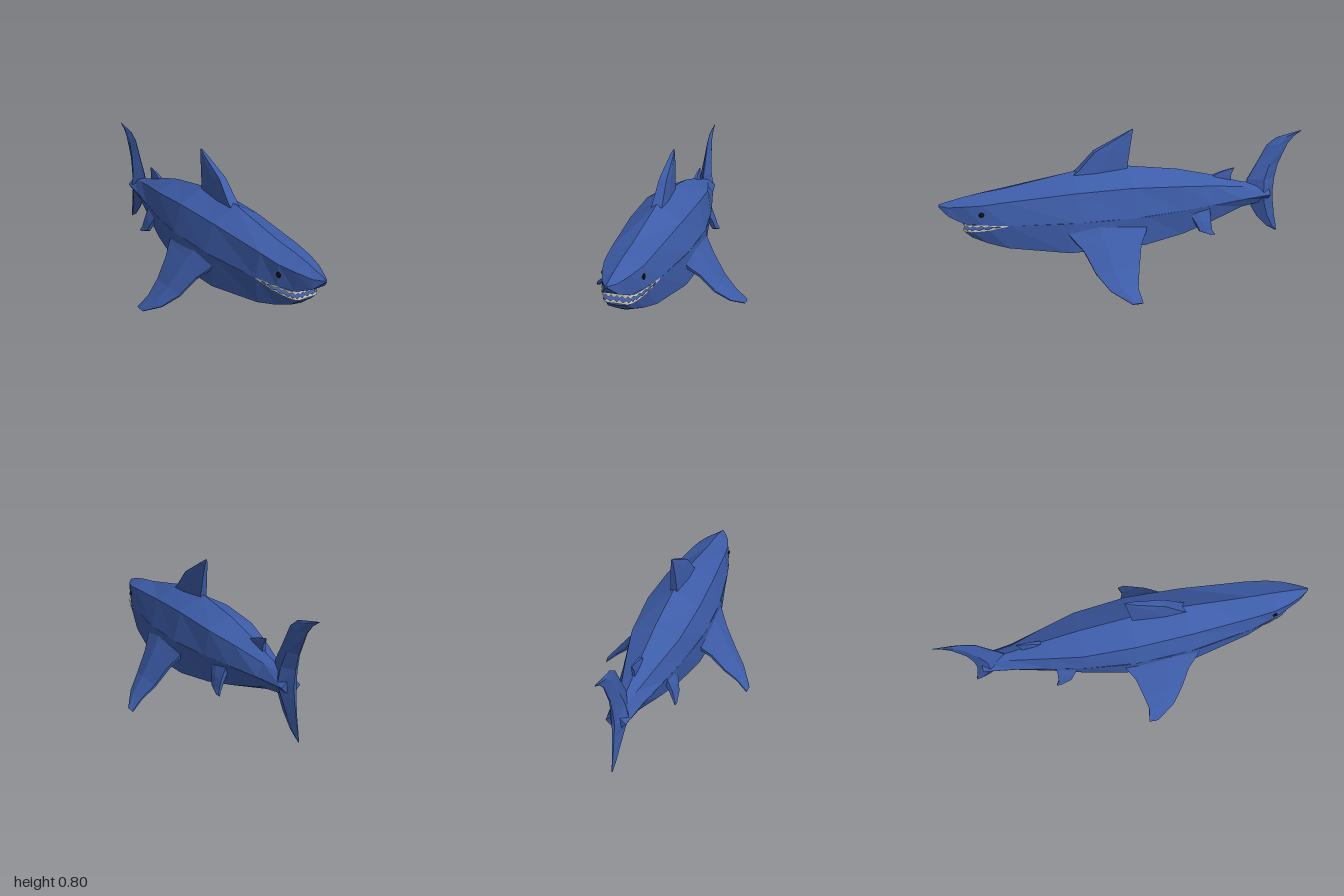
import * as THREE from 'three';

const paint = (color) => new THREE.MeshStandardMaterial({ color, flatShading: true, roughness: 0.8 });
const skin = paint(0x3d5ca8);
const ivory = paint(0xd8d4c8);
ivory.side = THREE.DoubleSide;
const black = paint(0x111111);

// Skin a list of closed rings of [x, y, z] points, cap both ends and face all triangles outwards
function loft(name, rings) {
  const n = rings[0].length, tris = [];
  const v = (p) => new THREE.Vector3(...p);
  const middle = (ring) => ring.reduce((s, p) => s.add(v(p)), new THREE.Vector3()).divideScalar(n);
  for (let i = 0; i < rings.length - 1; i++) {
    for (let j = 0; j < n; j++) {
      const k = (j + 1) % n;
      const a = v(rings[i][j]), b = v(rings[i][k]), c = v(rings[i + 1][k]), d = v(rings[i + 1][j]);
      tris.push([a, b, c], [a, c, d]);
    }
  }
  const first = rings[0], last = rings[rings.length - 1];
  for (let j = 0; j < n; j++) {
    const k = (j + 1) % n;
    tris.push([middle(first), v(first[k]), v(first[j])], [middle(last), v(last[j]), v(last[k])]);
  }
  const volume = tris.reduce((s, [a, b, c]) => s + a.dot(b.clone().cross(c)), 0);
  const points = tris.flatMap(([a, b, c]) => (volume < 0 ? [a, c, b] : [a, b, c]));
  const geometry = new THREE.BufferGeometry().setFromPoints(points);
  geometry.computeVertexNormals();
  const mesh = new THREE.Mesh(geometry, skin);
  mesh.name = name;
  return mesh;
}

// Fin from stations [x, y, leading z, trailing z, half thickness];
// profile lists [fraction of chord, fraction of thickness]; tilt turns the thickness direction
function fin(name, stations, profile, tilt = 0) {
  const rings = stations.map(([x, y, zl, zt, w]) => {
    const point = (t, s) => [x + Math.cos(tilt) * w * s, y + Math.sin(tilt) * w * s, zl + (zt - zl) * t];
    return [
      ...profile.map(([t, s]) => point(t, s)),
      ...[...profile].reverse().map(([t, s]) => point(t, -s)),
    ];
  });
  return loft(name, rings);
}

// Zigzag strip of teeth hanging from (or rising above) a lip line
function teeth(name, lip, direction) {
  const half = lip.map((p) => new THREE.Vector3(...p));
  const mirrored = half.slice(0, -1).reverse().map((p) => new THREE.Vector3(-p.x, p.y, p.z));
  const curve = new THREE.CatmullRomCurve3([...half, ...mirrored]);
  const count = 32, points = [];
  const pair = (i) => {
    const base = curve.getPoint(i / count);
    const size = (i % 2 ? 0.021 : 0.009) * (0.35 + 0.65 * Math.sin((Math.PI * i) / count));
    const tip = base.clone();
    tip.y += direction * size;
    return [base, tip];
  };
  for (let i = 0; i < count; i++) {
    const [a, b] = pair(i), [d, c] = pair(i + 1);
    points.push(a, b, c, a, c, d);
  }
  const geometry = new THREE.BufferGeometry().setFromPoints(points);
  geometry.computeVertexNormals();
  const mesh = new THREE.Mesh(geometry, ivory);
  mesh.name = name;
  return mesh;
}

export function createModel() {
  const model = new THREE.Group();
  model.name = 'shark';

  // Back and snout: z, ridge y, shoulder x, shoulder y, flank x, flank y
  const upper = [
    [0.995, 0.482, 0.006, 0.478, 0.006, 0.470],
    [0.95, 0.494, 0.035, 0.474, 0.036, 0.425],
    [0.87, 0.512, 0.068, 0.484, 0.064, 0.386],
    [0.78, 0.527, 0.093, 0.491, 0.100, 0.385],
    [0.66, 0.54, 0.107, 0.504, 0.130, 0.382],
    [0.30, 0.603, 0.135, 0.529, 0.178, 0.38],
    [0.0, 0.61, 0.145, 0.535, 0.184, 0.38],
    [-0.28, 0.568, 0.128, 0.512, 0.150, 0.38],
    [-0.46, 0.522, 0.088, 0.484, 0.115, 0.38],
    [-0.65, 0.462, 0.042, 0.445, 0.075, 0.38],
    [-0.82, 0.43, 0.012, 0.42, 0.05, 0.382],
  ];
  model.add(loft('upperBody', upper.map(([z, t, sx, sy, mx, my]) =>
    [[0, t, z], [sx, sy, z], [mx, my, z], [-mx, my, z], [-sx, sy, z]])));

  // Jaw and belly: z, flank x, flank y, lower edge x, lower edge y, keel y
  const lower = [
    [0.875, 0.055, 0.345, 0.045, 0.335, 0.332],
    [0.84, 0.078, 0.348, 0.058, 0.306, 0.298],
    [0.76, 0.106, 0.36, 0.084, 0.275, 0.253],
    [0.66, 0.130, 0.382, 0.115, 0.25, 0.229],
    [0.35, 0.175, 0.382, 0.172, 0.213, 0.172],
    [0.15, 0.184, 0.382, 0.186, 0.217, 0.17],
    [-0.06, 0.180, 0.382, 0.172, 0.215, 0.171],
    [-0.28, 0.150, 0.382, 0.130, 0.237, 0.206],
    [-0.45, 0.117, 0.382, 0.092, 0.272, 0.244],
    [-0.65, 0.075, 0.382, 0.045, 0.325, 0.305],
    [-0.82, 0.05, 0.382, 0.012, 0.34, 0.33],
  ];
  model.add(loft('lowerBody', lower.map(([z, mx, my, lx, ly, b]) =>
    [[mx, my, z], [lx, ly, z], [0, b, z], [-lx, ly, z], [-mx, my, z]])));

  // Teeth along both lips
  model.add(teeth('upperTeeth', [[0.131, 0.384, 0.66], [0.104, 0.388, 0.78], [0.066, 0.388, 0.87], [0, 0.388, 0.876]], -1));
  model.add(teeth('lowerTeeth', [[0.131, 0.38, 0.66], [0.108, 0.358, 0.76], [0.08, 0.346, 0.84], [0.056, 0.343, 0.877], [0, 0.343, 0.88]], 1));

  // Fins on the centre line
  const wedge = [[0, 0.9], [0.4, 1], [1, 0.6]];
  const blade = [[0, 0.08], [0.55, 1], [1, 0.15]];
  model.add(fin('dorsalFin', [
    [0, 0.56, 0.33, 0.01, 0.032],
    [0, 0.61, 0.27, 0.005, 0.029],
    [0, 0.705, 0.18, -0.01, 0.022],
    [0, 0.79, 0.015, -0.025, 0.01],
    [0, 0.81, -0.022, -0.03, 0.003],
  ], wedge));
  model.add(fin('rearDorsalFin', [
    [0, 0.47, -0.45, -0.59, 0.014],
    [0, 0.512, -0.485, -0.593, 0.011],
    [0, 0.53, -0.535, -0.602, 0.007],
    [0, 0.545, -0.597, -0.61, 0.003],
  ], wedge));
  model.add(fin('tailFin', [
    [0, 0.135, -0.89, -0.897, 0.003],
    [0, 0.17, -0.83, -0.89, 0.009],
    [0, 0.24, -0.765, -0.873, 0.018],
    [0, 0.33, -0.71, -0.857, 0.034],
    [0, 0.39, -0.69, -0.85, 0.048],
    [0, 0.47, -0.69, -0.855, 0.034],
    [0, 0.55, -0.735, -0.87, 0.024],
    [0, 0.665, -0.795, -0.92, 0.013],
    [0, 0.705, -0.85, -0.955, 0.008],
    [0, 0.735, -0.99, -1, 0.002],
  ], blade));

  // Paired fins and eyes
  const eyeShape = new THREE.SphereGeometry(1, 8, 6);
  for (const [side, s] of [['left', 1], ['right', -1]]) {
    const mirror = (list) => list.map(([x, ...rest]) => [s * x, ...rest]);
    model.add(fin(side + 'PectoralFin', mirror([
      [0.155, 0.34, 0.37, -0.075, 0.03],
      [0.185, 0.295, 0.335, -0.055, 0.028],
      [0.226, 0.24, 0.285, -0.02, 0.024],
      [0.296, 0.14, 0.238, 0.008, 0.019],
      [0.368, 0.068, 0.175, 0.03, 0.013],
      [0.428, 0.012, 0.075, 0.018, 0.01],
    ]), [[0, 0.25], [0.4, 1], [1, 0.3]], s * 0.72));
    model.add(fin(side + 'PelvicFin', mirror([
      [0.1, 0.37, -0.3, -0.435, 0.02],
      [0.132, 0.3, -0.345, -0.435, 0.016],
      [0.15, 0.25, -0.37, -0.44, 0.01],
      [0.163, 0.228, -0.43, -0.455, 0.004],
    ]), wedge, s * 0.35));
    const eye = new THREE.Mesh(eyeShape, black);
    eye.name = side + 'Eye';
    eye.scale.set(0.009, 0.014, 0.02);
    eye.position.set(s * 0.093, 0.442, 0.782);
    eye.rotation.y = s * 0.27;
    model.add(eye);
  }
  return model;
}
